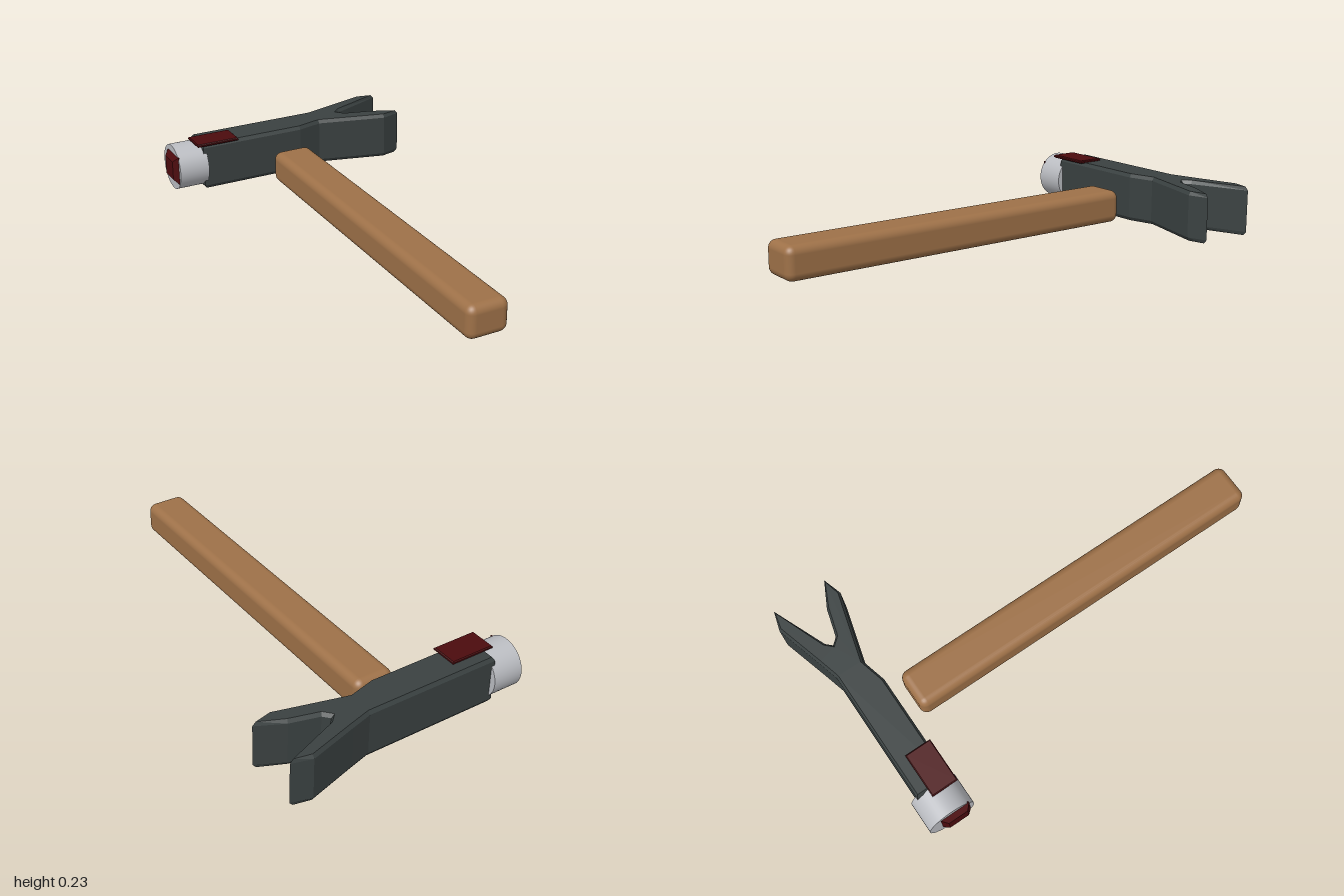
import * as THREE from 'three';
import { RoundedBoxGeometry } from 'three/addons/geometries/RoundedBoxGeometry.js';

const material = (name, color) => Object.assign(new THREE.MeshStandardMaterial({ color }), { name });

// Extrudes an outline to an exact total depth with one chamfer inside its edges
function chamfered(points, depth, inset, thickness) {
  const shape = new THREE.Shape(points.map(([x, y]) => new THREE.Vector2(x, y)));
  const geometry = new THREE.ExtrudeGeometry(shape, {
    depth: depth - 2 * thickness,
    bevelEnabled: true, bevelSegments: 1,
    bevelSize: inset, bevelOffset: -inset, bevelThickness: thickness,
  });
  return geometry.translate(0, 0, thickness);
}

const rectangle = (x0, y0, x1, y1) => [[x0, y0], [x1, y0], [x1, y1], [x0, y1]];

export function createModel() {
  const model = new THREE.Group();
  model.name = 'hammer';
  const wood = material('wood', 0x9e7148);
  const iron = material('darkIron', 0x3a4141);
  const steel = material('paleSteel', 0xbbbdc2);
  const red = material('darkRed', 0x4c0b0e);

  const add = (name, geometry, mat) => {
    const mesh = new THREE.Mesh(geometry, mat);
    mesh.name = name;
    model.add(mesh);
    return mesh;
  };

  // Long rounded handle, lying along z
  const handle = add('handle', new RoundedBoxGeometry(0.182, 0.145, 1.685, 4, 0.035), wood);
  handle.position.set(-0.024, 0.079, 0.152);

  // Head with split claw: outline as [x, -z], raised along y
  const outline = [
    [-0.43, 0.755], [0.06, 0.755], [0.175, 0.785], [0.485, 0.703], [0.572, 0.73],
    [0.455, 0.788], [0.33, 0.822], [0.305, 0.85], [0.33, 0.875], [0.572, 0.975],
    [0.485, 1.0], [0.27, 0.938], [0.175, 0.912], [-0.43, 0.912],
  ];
  const head = add('clawHead', chamfered(outline, 0.217, 0.01, 0.016), iron);
  head.rotation.x = -Math.PI / 2;
  head.position.y = 0.002;

  // Striking face
  const face = add('strikingFace', new THREE.CylinderGeometry(0.105, 0.105, 0.139, 48), steel);
  face.rotation.z = Math.PI / 2;
  face.position.set(-0.4845, 0.11, -0.835);

  // Chamfered red patch on the end of the striking face
  const endPatch = add('endPatch', chamfered(rectangle(-0.883, 0.05, -0.75, 0.182), 0.046, 0.022, 0.022), red);
  endPatch.rotation.y = -Math.PI / 2;
  endPatch.position.x = -0.53;

  // Thin red patch on top of the head
  const topPatch = add('topPatch', chamfered(rectangle(-0.462, 0.74, -0.262, 0.858), 0.014, 0.004, 0.004), red);
  topPatch.rotation.x = -Math.PI / 2;
  topPatch.position.y = 0.216;

  return model;
}
